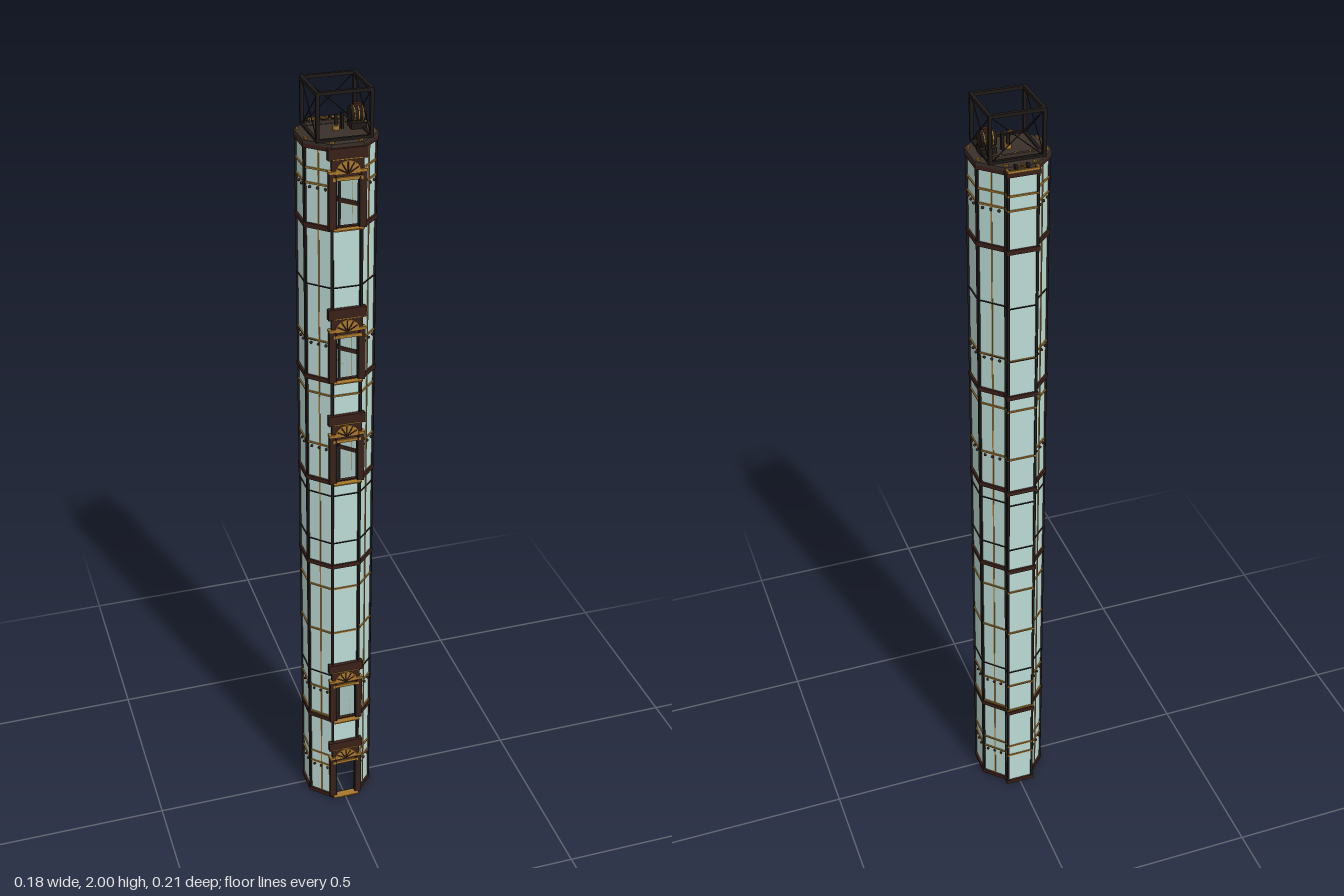
import * as THREE from 'three';

const paint = (name, color, side = THREE.FrontSide) => {
  const m = new THREE.MeshStandardMaterial({ color, side });
  m.name = name;
  return m;
};

export function createModel() {
  const glass = paint('pale glass', 0xbcdcd6);
  const iron = paint('black iron', 0x1f1a17);
  const brown = paint('dark red brown', 0x3a2019);
  const gold = paint('aged gold', 0xa8782c);
  const roofing = paint('roof brown', 0x3b3029);

  const root = new THREE.Group();
  root.name = 'liftShaft';
  const A = 0.083;                        // octagon apothem
  const T = Math.tan(Math.PI / 8);
  const HEIGHT = 1.88;
  const BAY = 0.099;                      // rear wall of the counterweight bay
  const floors = [0.01, 0.275, 1.025, 1.305, 1.69];

  const add = (parent, name, geo, mat, x = 0, y = 0, z = 0) => {
    const m = new THREE.Mesh(geo, mat);
    m.name = name;
    m.position.set(x, y, z);
    parent.add(m);
    return m;
  };
  const box = (parent, name, mat, w, h, d, x, y, z) =>
    add(parent, name, new THREE.BoxGeometry(w, h, d), mat, x, y, z);
  const rod = (parent, name, mat, a, b, r, sides = 6) => {
    const p = new THREE.Vector3(...a), q = new THREE.Vector3(...b);
    const dir = q.clone().sub(p);
    const m = add(parent, name, new THREE.CylinderGeometry(r, r, dir.length(), sides), mat);
    m.position.copy(p).add(q).multiplyScalar(0.5);
    m.quaternion.setFromUnitVectors(new THREE.Vector3(0, 1, 0), dir.normalize());
    return m;
  };

  // One turned group per side: 0 front, 2 left, 4 back, 6 right
  const faces = Array.from({ length: 8 }, (_, k) => {
    const g = new THREE.Group();
    g.name = `side${k}`;
    g.rotation.y = k * Math.PI / 4;
    root.add(g);
    return g;
  });

  // A band round the shaft, stepping out round the rear bay
  const band = (name, mat, y, h, proud, depth, skipFront = false) => {
    faces.forEach((f, k) => {
      if (k === 0 && skipFront) return;
      const out = (k === 4 ? BAY : A) + proud;
      const w = k === 4 ? 2 * A * T + 2 * proud : 2 * out * T;
      box(f, name, mat, w, h, depth, 0, y, out - depth / 2);
      if (k === 4) for (const s of [-1, 1])
        box(f, name, mat, depth, h, BAY - A, s * (A * T + proud - depth / 2), y, (A + BAY) / 2);
    });
  };

  // Glass walls
  const paneW = 2 * A * T;
  faces.forEach((f, k) => {
    if (k === 0) return;
    box(f, 'glassWall', glass, paneW, HEIGHT, 0.002, 0, HEIGHT / 2, (k === 4 ? BAY : A) - 0.001);
    if (k === 4) for (const s of [-1, 1])
      box(f, 'baySideGlass', glass, 0.002, HEIGHT, BAY - A, s * (A * T - 0.001), HEIGHT / 2, (A + BAY) / 2);
    if (k % 2) box(f, 'goldMullion', gold, 0.003, HEIGHT, 0.004, 0, HEIGHT / 2, A);
  });
  floors.forEach((y, i) => {
    const low = y + 0.125, high = floors[i + 1] ?? HEIGHT;
    box(faces[0], 'frontGlass', glass, paneW, high - low, 0.002, 0, (low + high) / 2, A - 0.001);
  });

  // Corner posts
  faces.forEach(f => {
    const p = box(f, 'cornerPost', iron, 0.007, HEIGHT, 0.007, A * T, HEIGHT / 2, A);
    p.rotation.y = Math.PI / 8;
  });
  for (const s of [-1, 1])
    box(root, 'bayPost', iron, 0.006, HEIGHT, 0.006, s * A * T, HEIGHT / 2, -BAY);

  // Heavy floor bands and fine glazing bars
  for (const y of [0.006, 0.275, 0.775, 1.025, 1.305, 1.69, 1.876]) band('floorBand', brown, y, 0.011, 0.005, 0.009);
  for (let i = 0; i < 13; i++) {
    const y = 0.145 + i * 0.14;
    const byDoor = floors.some(f => y > f - 0.02 && y < f + 0.2);
    const dark = [2, 5, 6, 9, 10].includes(i);
    band('glazingBar', dark ? iron : gold, y, dark ? 0.002 : 0.004, 0.003, 0.005, byDoor);
  }

  // Doorways with jambs, fan ornament, canopy and lamps
  const fan = new THREE.Shape();
  fan.absarc(0, 0, 0.03, 0, Math.PI, false);
  fan.closePath();
  const fanGeo = new THREE.ExtrudeGeometry(fan, { depth: 0.005, bevelEnabled: false, curveSegments: 10 });
  const bulb = new THREE.SphereGeometry(0.0035, 8, 6);
  for (const y of floors) {
    const door = new THREE.Group();
    door.name = 'doorway';
    door.position.y = y;
    root.add(door);
    for (const s of [-1, 1]) {
      box(door, 'jamb', brown, 0.014, 0.135, 0.012, s * 0.037, 0.0675, 0.087);
      box(door, 'jambTrim', iron, 0.004, 0.125, 0.014, s * 0.028, 0.0625, 0.087);
      box(door, 'capital', gold, 0.016, 0.006, 0.014, s * 0.037, 0.135, 0.087);
    }
    box(door, 'sill', gold, 0.07, 0.003, 0.02, 0, 0.001, 0.093);
    box(door, 'lintel', gold, 0.07, 0.008, 0.014, 0, 0.119, 0.087);
    box(door, 'overPanel', brown, 0.076, 0.046, 0.008, 0, 0.145, 0.086);
    add(door, 'fanOrnament', fanGeo, gold, 0, 0.13, 0.087);
    for (let i = 1; i < 6; i++) {
      const a = i * Math.PI / 6;
      rod(door, 'fanRib', brown, [0, 0.13, 0.092], [Math.cos(a) * 0.028, 0.13 + Math.sin(a) * 0.028, 0.092], 0.0014, 5);
    }
    box(door, 'canopy', brown, 0.092, 0.026, 0.013, 0, 0.176, 0.0865);
    box(door, 'canopyTrim', gold, 0.07, 0.003, 0.014, 0, 0.164, 0.087);

    // Lamp rail on the other sides
    band('lampRail', gold, y + 0.1, 0.004, 0.003, 0.005, true);
    faces.forEach((f, k) => {
      if (k === 0 || k === 4) return;
      for (const x of [-0.02, 0, 0.02]) {
        add(f, 'lamp', bulb, brown, x, y + 0.092, A + 0.004);
      }
    });
  }

  // Guide rails inside
  for (const s of [-1, 1]) box(root, 'guideRail', iron, 0.004, HEIGHT, 0.006, s * 0.077, HEIGHT / 2, 0);

  // Octagonal roof with raised plates and corner bolts
  const roof = add(root, 'roof', new THREE.CylinderGeometry(0.0955, 0.0955, 0.008, 8).toNonIndexed(), roofing, 0, 1.884, 0);
  roof.geometry.computeVertexNormals();
  roof.rotation.y = Math.PI / 8;
  box(root, 'roofPlate', roofing, 0.115, 0.003, 0.1, 0, 1.889, 0.01);
  for (const f of faces) for (const s of [-1, 1])
    add(f, 'roofBolt', new THREE.CylinderGeometry(0.003, 0.003, 0.004, 6), gold, s * 0.031, 1.89, 0.081);

  // Rear bay rim and pulleys
  box(root, 'bayRim', gold, 0.074, 0.005, 0.004, 0, 1.884, -0.103);
  for (const s of [-1, 1]) {
    box(root, 'bayRimSide', gold, 0.004, 0.005, 0.02, s * 0.035, 1.884, -0.095);
    rod(root, 'bayPulley', iron, [s * 0.014 - 0.003, 1.888, -0.09], [s * 0.014 + 0.003, 1.888, -0.09], 0.006, 12);
  }
  const ringRoller = add(root, 'ropeRing', new THREE.TorusGeometry(0.007, 0.0015, 6, 14), gold, 0, 1.888, -0.09);
  ringRoller.rotation.x = Math.PI / 2;

  // Open machine frame above the roof
  const X = 0.062, ZB = -0.06, ZF = 0.065, TOP = 1.996, BASE = 1.888;
  for (const x of [-X, X]) {
    for (const z of [ZB, ZF]) box(root, 'framePost', iron, 0.008, TOP - BASE, 0.008, x, (TOP + BASE) / 2, z);
    box(root, 'frameTopSide', iron, 0.008, 0.008, ZF - ZB + 0.008, x, TOP, (ZF + ZB) / 2);
    box(root, 'frameBaseSide', iron, 0.007, 0.006, ZF - ZB, x, BASE + 0.003, (ZF + ZB) / 2);
    rod(root, 'sideBrace', iron, [x, BASE, ZB], [x, TOP, ZF], 0.0012);
    rod(root, 'sideBrace', iron, [x, TOP, ZB], [x, BASE, ZF], 0.0012);
  }
  for (const z of [ZB, ZF]) {
    box(root, 'frameTopBar', iron, 2 * X, 0.008, 0.008, 0, TOP, z);
    box(root, 'frameBaseBar', iron, 2 * X, 0.006, 0.007, 0, BASE + 0.003, z);
  }
  rod(root, 'backBrace', iron, [-X, BASE, ZB], [X, TOP, ZB], 0.0012);
  rod(root, 'backBrace', iron, [X, BASE, ZB], [-X, TOP, ZB], 0.0012);
  box(root, 'crossBeam', roofing, 0.12, 0.008, 0.007, 0, 1.894, -0.046);
  for (const x of [-0.035, 0, 0.035])
    add(root, 'beamBolt', new THREE.CylinderGeometry(0.003, 0.003, 0.003, 6), gold, x, 1.899, -0.046);

  // Rope post and hoist motor
  rod(root, 'ropePost', iron, [0, BASE, 0], [0, 1.925, 0], 0.004, 10);
  rod(root, 'ropeCollar', gold, [0, BASE, 0], [0, 1.9, 0], 0.008, 14);
  box(root, 'controlLever', iron, 0.006, 0.04, 0.009, 0.015, 1.908, -0.003);
  box(root, 'motorBase', iron, 0.036, 0.016, 0.034, 0.05, 1.896, -0.003);
  rod(root, 'motorDrum', iron, [0.032, 1.922, -0.003], [0.068, 1.922, -0.003], 0.018, 16);
  for (const x of [0.04, 0.05, 0.06])
    rod(root, 'motorBand', gold, [x - 0.001, 1.922, -0.003], [x + 0.001, 1.922, -0.003], 0.019, 16);
  box(root, 'motorCap', brown, 0.018, 0.008, 0.012, 0.05, 1.942, -0.003);

  return root;
}
